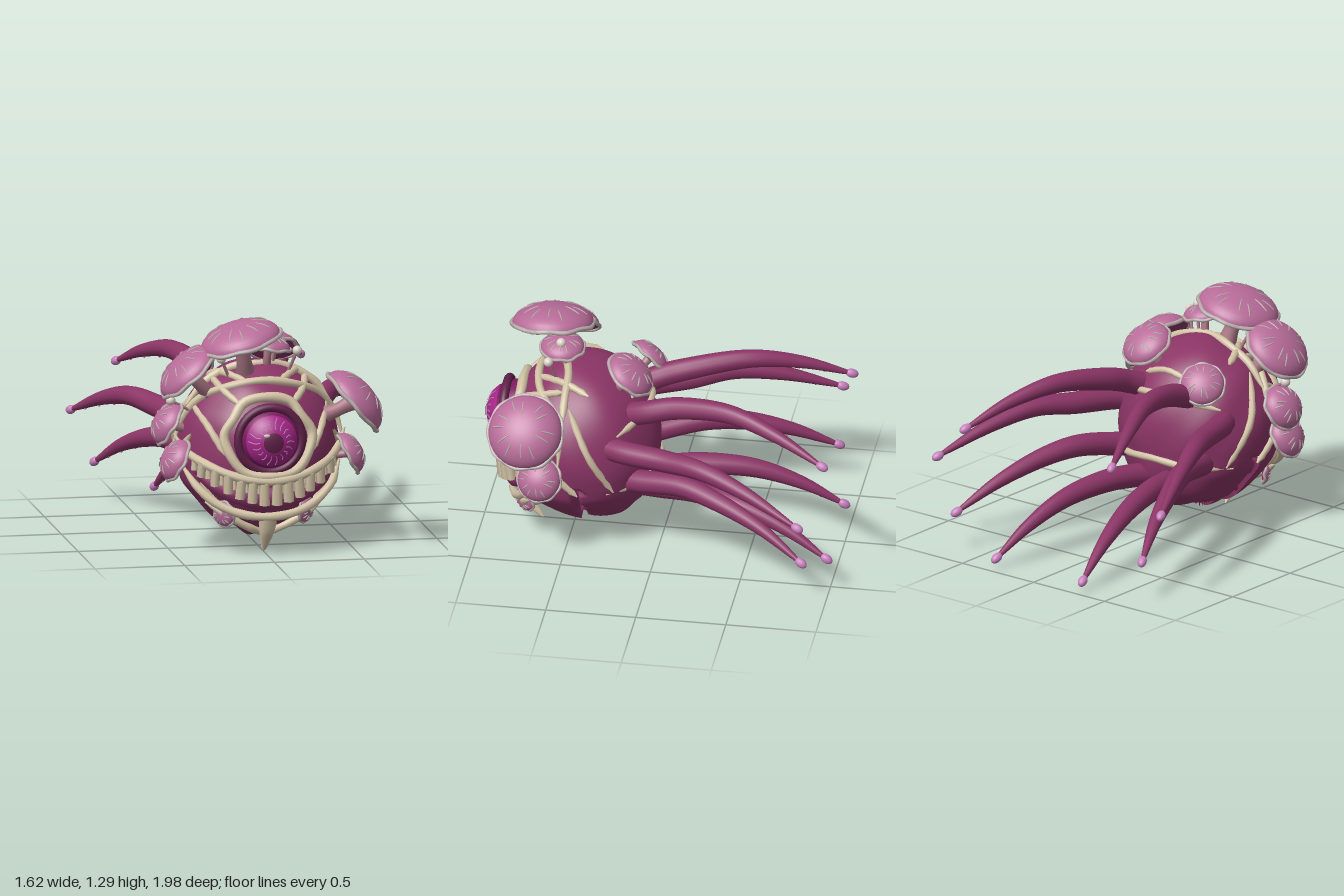
import * as THREE from 'three';

const mat = (name, color) => { const m = new THREE.MeshStandardMaterial({ color }); m.name = name; return m; };
const V = (x, y, z) => new THREE.Vector3(x, y, z);
const UP = V(0, 1, 0);

// Body ellipsoid that all the attached parts follow
const C = V(0, 0.55, 0.45), R = V(0.45, 0.48, 0.43);

export function createModel() {
  const M = {
    skin: mat('purple skin', 0x8b3566), dark: mat('dark flesh', 0x5f2048), bone: mat('bone', 0xd3c3a6),
    cap: mat('cap pink', 0xb86c99), rim: mat('pale grey rim', 0xbcafae), stem: mat('stem rose', 0xab7785),
    iris: mat('iris magenta', 0xa8278a), eye: mat('eye magenta', 0x7c1a60), tip: mat('lilac tip', 0xc880bd),
    pale: mat('pale bulb', 0xdcd3c8),
  };
  const root = new THREE.Group();
  const add = (name, geo, m, parent = root) => {
    const mesh = new THREE.Mesh(geo, m);
    mesh.name = name;
    parent.add(mesh);
    return mesh;
  };

  // Point on the front of the body above (x, y), pushed forward by dz
  const front = (x, y, dz = 0) => {
    const a = (x / R.x) ** 2 + ((y - C.y) / R.y) ** 2;
    return V(x, y, C.z + R.z * Math.sqrt(Math.max(0.02, 1 - a)) + dz);
  };
  // Point moved radially onto the body
  const surf = (p, k = 1.01) => {
    const d = p.clone().sub(C);
    return d.divideScalar(Math.hypot(d.x / R.x, d.y / R.y, d.z / R.z)).multiplyScalar(k).add(C);
  };
  // Tube whose radius follows rad(t)
  const taper = (pts, rad, segs = 24, sides = 8, closed = false) => {
    const curve = new THREE.CatmullRomCurve3(pts, closed);
    const g = new THREE.TubeGeometry(curve, segs, 1, sides, closed);
    const p = g.attributes.position, v = V(0, 0, 0);
    for (let i = 0; i < p.count; i++) {
      const t = Math.floor(i / (sides + 1)) / segs, c = curve.getPointAt(t);
      v.fromBufferAttribute(p, i).sub(c).multiplyScalar(rad(t)).add(c);
      p.setXYZ(i, v.x, v.y, v.z);
    }
    return g;
  };
  const bone = (name, pts, r, closed = false) => add(name, taper(pts,
    t => r * (closed ? 1 : 0.25 + 0.75 * Math.min(1, 8 * Math.min(t, 1 - t))) * (1 + 0.06 * Math.sin(t * 37)),
    closed ? 48 : 32, 8, closed), M.bone);
  // Mirrors half of a front profile, listed from the middle outwards
  const arch = (half, dz) => [...half.slice(1).reverse().map(([x, y]) => front(-x, y, dz)),
    ...half.map(([x, y]) => front(x, y, dz))];

  // Lumpy body, narrowed below, with a groove behind the jaw
  const body = new THREE.SphereGeometry(1, 112, 80);
  const bp = body.attributes.position;
  for (let i = 0; i < bp.count; i++) {
    const d = V(bp.getX(i), bp.getY(i), bp.getZ(i)), y = d.y, z = d.z;
    let k = 1 + 0.014 * Math.sin(7 * d.x + 4 * y) * Math.cos(6 * z - 5 * y);
    if (y < 0) k += 0.025 * Math.sin(13 * d.x + 3 * z) * y;
    if (y < -0.2 && z < -0.1) k += 0.1 * Math.min(1, -2 * z) * Math.min(1, -y - 0.2) * 1.5;
    if (y < -0.25 && Math.abs(z + 0.06 + 0.02 * Math.sin(20 * y)) < 0.035) k *= 0.86;
    d.multiplyScalar(k);
    if (y < -0.4) {
      d.x *= 1 - 0.35 * (-y - 0.4);
      if (z < -0.09) d.y *= 1 - 0.17 * (-y - 0.4);
    }
    d.multiply(R).add(C);
    bp.setXYZ(i, d.x, d.y, d.z);
  }
  body.computeVertexNormals();
  add('body', body, M.skin);

  // Eye: socket ring, ball, iris, pupil and rays
  const eye = new THREE.Group();
  eye.name = 'eye';
  eye.position.set(0, 0.66, 0.81);
  root.add(eye);
  add('socketRing', new THREE.TorusGeometry(0.178, 0.025, 12, 40), M.dark, eye).position.z = 0.065;
  const layer = (name, radius, reach, m) => {
    const cap = add(name, new THREE.SphereGeometry(radius, 40, 14, 0, Math.PI * 2, 0, reach), m, eye);
    cap.rotation.x = Math.PI / 2;
  };
  layer('eyeball', 0.176, Math.PI / 2, M.eye);
  layer('iris', 0.179, 0.92, M.iris);
  layer('pupil', 0.184, 0.31, M.dark);
  const onEye = (a, t, r = 0.181) => V(r * Math.sin(t) * Math.cos(a), r * Math.sin(t) * Math.sin(a), r * Math.cos(t));
  for (let i = 0; i < 18; i++) {
    const a = i * Math.PI / 9, e = 0.72 + 0.12 * Math.sin(i * 5);
    add('irisRay', taper([onEye(a, 0.42), onEye(a + 0.06, 0.57), onEye(a - 0.03, e)], () => 0.0032, 6, 5), M.tip, eye);
  }
  const glint = add('glint', new THREE.SphereGeometry(0.015, 12, 8), M.pale, eye);
  glint.position.copy(onEye(2.3, 0.31, 0.183));
  glint.scale.set(1.2, 0.7, 0.4);

  // Bone frame round the eye
  bone('eyeFrame', [[0, 0.88], [0.13, 0.85], [0.19, 0.77], [0.245, 0.68], [0.215, 0.57], [0.14, 0.48], [0, 0.455],
    [-0.14, 0.48], [-0.215, 0.57], [-0.245, 0.68], [-0.19, 0.77], [-0.13, 0.85]].map(([x, y]) => front(x, y, 0.02)), 0.028, true);
  // Brow, lips and chin arches
  bone('browBone', arch([[0, 0.955], [0.18, 0.925], [0.33, 0.85], [0.43, 0.72], [0.47, 0.6]], 0.01), 0.023);
  bone('crownBone', arch([[0, 1.02], [0.15, 1], [0.3, 0.92], [0.4, 0.8]], 0), 0.023);
  bone('upperLip', arch([[0, 0.43], [0.16, 0.45], [0.32, 0.505], [0.43, 0.57], [0.475, 0.65]], 0.04), 0.024);
  bone('lowerLip', arch([[0, 0.22], [0.14, 0.235], [0.27, 0.285], [0.37, 0.37], [0.44, 0.48]], 0.07), 0.024);
  bone('chinBone', arch([[0, 0.11], [0.1, 0.15], [0.22, 0.22], [0.33, 0.29]], 0.07), 0.021);
  add('mouth', taper(arch([[0, 0.33], [0.16, 0.35], [0.3, 0.41], [0.38, 0.48]], -0.01), t => 0.065 * Math.sin(Math.PI * t) ** 0.5 + 0.005, 28), M.skin);

  // Chin spike
  add('chinSpike', taper([V(0, 0.23, 0.82), V(0, 0.14, 0.785), V(0, 0.08, 0.74), V(0, 0, 0.675)],
    t => 0.056 * Math.min(1, 0.5 + t * 3) * (1 - t) ** 0.7 + 0.002, 16), M.bone);

  // Blocky upper teeth with short gum pegs between them
  for (const s of [-1, 1]) for (let i = 0; i < 6; i++) {
    const x = s * (0.035 + i * 0.064), top = 0.42 + 0.85 * x * x, h = 0.122 - i * 0.007;
    const tooth = add('tooth', new THREE.CylinderGeometry(0.027, 0.032 - i * 0.001, h, 6), M.bone);
    tooth.position.copy(front(x, top, 0.035)).y -= h / 2;
    tooth.rotation.set(0.12, x * 1.6, s * 0.04 * (i % 3));
    const peg = add('gumPeg', new THREE.CylinderGeometry(0.015, 0.02, 0.07, 6), M.bone);
    peg.position.copy(front(x + s * 0.032, top - 0.025, 0.02));
  }

  // Struts over the sides, back and crown
  const path = (...p) => p.map(q => surf(V(...q)));
  for (const s of [-1, 1]) {
    bone('cheekStrut', [[0.37, 0.81], [0.31, 0.7], [0.24, 0.57]].map(([x, y]) => front(s * x, y, 0.01)), 0.02);
    bone('browStrut', [[0.15, 0.84], [0.22, 0.9], [0.26, 0.95]].map(([x, y]) => front(s * x, y, 0.01)), 0.02);
    bone('sideStrut', path([s * 0.3, 0.86, 0.48], [s * 0.42, 0.65, 0.36], [s * 0.38, 0.4, 0.22]), 0.02);
    bone('jawStrut', path([s * 0.4, 0.66, 0.64], [s * 0.43, 0.53, 0.54], [s * 0.42, 0.4, 0.42]), 0.02);
    bone('crownStrut', path([s * 0.1, 1, 0.72], [s * 0.22, 1, 0.52], [s * 0.27, 0.95, 0.38]), 0.021);
    bone('jawPost', path([s * 0.36, 0.4, 0.7], [s * 0.35, 0.33, 0.72], [s * 0.3, 0.26, 0.73]), 0.022);
  }
  bone('upperBackBone', path([-0.36, 0.75, 0.2], [-0.15, 0.8, 0.08], [0.12, 0.8, 0.08], [0.36, 0.75, 0.2]), 0.02);
  bone('napeBone', path([-0.14, 0.92, 0.14], [0, 0.94, 0.14], [0.15, 0.9, 0.14]), 0.018);
  bone('lowerBackBone', path([-0.38, 0.4, 0.27], [-0.2, 0.42, 0.08], [0, 0.44, 0.02], [0.2, 0.42, 0.08], [0.38, 0.4, 0.27]), 0.02);

  // Eight tentacles in mirrored pairs, listed from base to tip
  const arms = [
    [[0.15, 0.78, 0.2], [0.2, 0.835, 0.06], [0.22, 0.885, -0.1], [0.31, 0.925, -0.42], [0.415, 0.87, -0.69], [0.515, 0.765, -0.955]],
    [[0.32, 0.66, 0.27], [0.38, 0.67, 0.16], [0.46, 0.685, -0.07], [0.56, 0.7, -0.29], [0.66, 0.645, -0.54], [0.785, 0.52, -0.86]],
    [[0.24, 0.42, 0.2], [0.29, 0.445, 0.08], [0.37, 0.48, -0.16], [0.45, 0.45, -0.36], [0.55, 0.36, -0.62], [0.653, 0.225, -0.86]],
    [[0.08, 0.31, 0.1], [0.11, 0.32, 0], [0.15, 0.33, -0.18], [0.21, 0.295, -0.46], [0.26, 0.195, -0.72], [0.303, 0.058, -0.945]],
  ];
  for (const s of [-1, 1]) for (const a of arms) {
    const pts = a.map(([x, y, z]) => V(s * x, y, z)), rad = t => 0.056 * (1 - t * t) ** 0.9 + 0.01;
    const arm = new THREE.Group();
    arm.name = 'tentacle';
    root.add(arm);
    add('tentacleArm', taper(pts, rad, 36, 14), M.skin, arm);
    const tip = add('tentacleTip', new THREE.SphereGeometry(0.025, 14, 10), M.tip, arm);
    tip.scale.y = 1.5;
    tip.position.copy(pts[5]);
    tip.quaternion.setFromUnitVectors(UP, pts[5].clone().sub(pts[4]).normalize());
    const curve = new THREE.CatmullRomCurve3(pts);
    for (const t of [0.62, 0.75, 0.87]) {
      const dot = add('sucker', new THREE.SphereGeometry(0.008, 8, 6), M.tip, arm);
      dot.position.copy(curve.getPointAt(t));
      dot.position.y -= rad(t) * 0.97;
    }
  }

  // Mushrooms: [rim centre, axis, radius, dome height]
  const shrooms = [
    [[-0.12, 1.165, 0.64], [-0.26, 0.96, 0.05], 0.225, 0.11],
    [[-0.405, 1, 0.62], [-0.67, 0.74, 0.02], 0.19, 0.1],
    [[0.49, 0.815, 0.695], [0.76, 0.65, 0.04], 0.205, 0.13],
    [[-0.5, 0.7, 0.55], [-0.85, 0.5, 0], 0.125, 0.09],
    [[-0.47, 0.51, 0.62], [-0.85, 0.45, 0.1], 0.12, 0.085],
    [[0.48, 0.515, 0.62], [0.85, 0.45, 0.1], 0.12, 0.085],
    [[-0.23, 0.225, 0.73], [-0.75, -0.1, 0.65], 0.07, 0.035],
    [[0.22, 0.235, 0.74], [0.75, -0.1, 0.65], 0.07, 0.035],
    [[0.05, 1.115, 0.56], [0.15, 0.98, 0], 0.12, 0.065],
    [[0.145, 1.03, 0.17], [0.1, 0.8, -0.6], 0.14, 0.08],
    [[-0.28, 0.9, 0.13], [-0.45, 0.65, -0.6], 0.12, 0.07],
  ];
  for (const [c, ax, r, h] of shrooms) {
    const centre = V(...c), axis = V(...ax).normalize();
    add('mushroomStem', taper([surf(centre, 0.96), centre.clone().lerp(surf(centre, 0.96), 0.5).addScaledVector(axis, -0.015),
      centre.clone().addScaledVector(axis, 0.01)], t => r * (0.25 - 0.07 * Math.sin(Math.PI * t)), 10, 12), M.stem);
    const head = new THREE.Group();
    head.name = 'mushroomHead';
    head.position.copy(centre);
    head.quaternion.setFromUnitVectors(UP, axis);
    root.add(head);
    add('cap', new THREE.SphereGeometry(1, 32, 10, 0, Math.PI * 2, 0, Math.PI / 2).scale(r, h, r), M.cap, head);
    add('gills', new THREE.SphereGeometry(1, 32, 6, 0, Math.PI * 2, Math.PI / 2, Math.PI / 2).scale(r, 0.012, r), M.skin, head);
    const rim = Array.from({ length: 36 }, (_, i) => {
      const a = i * Math.PI / 18, k = r * (1 + 0.02 * Math.sin(9 * a));
      return V(k * Math.cos(a), 0.004 * Math.cos(7 * a), k * Math.sin(a));
    });
    add('capRim', taper(rim, () => 0.006 + r * 0.03, 72, 6, true), M.rim, head);
    for (let i = 0; i < 12; i++) {
      const a = i * Math.PI / 6 + 0.1 * Math.sin(i * 3), t0 = 0.38 + 0.14 * (i % 2);
      const at = t => V(r * Math.sin(t) * Math.cos(a), h * Math.cos(t) + 0.001, r * Math.sin(t) * Math.sin(a));
      add('capStreak', taper([at(t0), at(t0 + 0.25), at(t0 + 0.5)], t => 0.0025 + 0.0025 * Math.sin(Math.PI * t), 6, 5), M.rim, head);
    }
  }

  // Little bulbs on thin stalks
  for (const p of [[-0.225, 1.07, 0.62], [-0.5, 0.84, 0.58], [0.1, 1.17, 0.56], [0.2, 1.1, 0.615]]) {
    const end = V(...p), base = surf(end, 0.98);
    add('bulbStalk', taper([base, base.clone().lerp(end, 0.5), end], () => 0.009, 6, 6), M.stem);
    add('bulb', new THREE.SphereGeometry(0.027, 14, 10), M.pale).position.copy(end);
  }
  return root;
}
